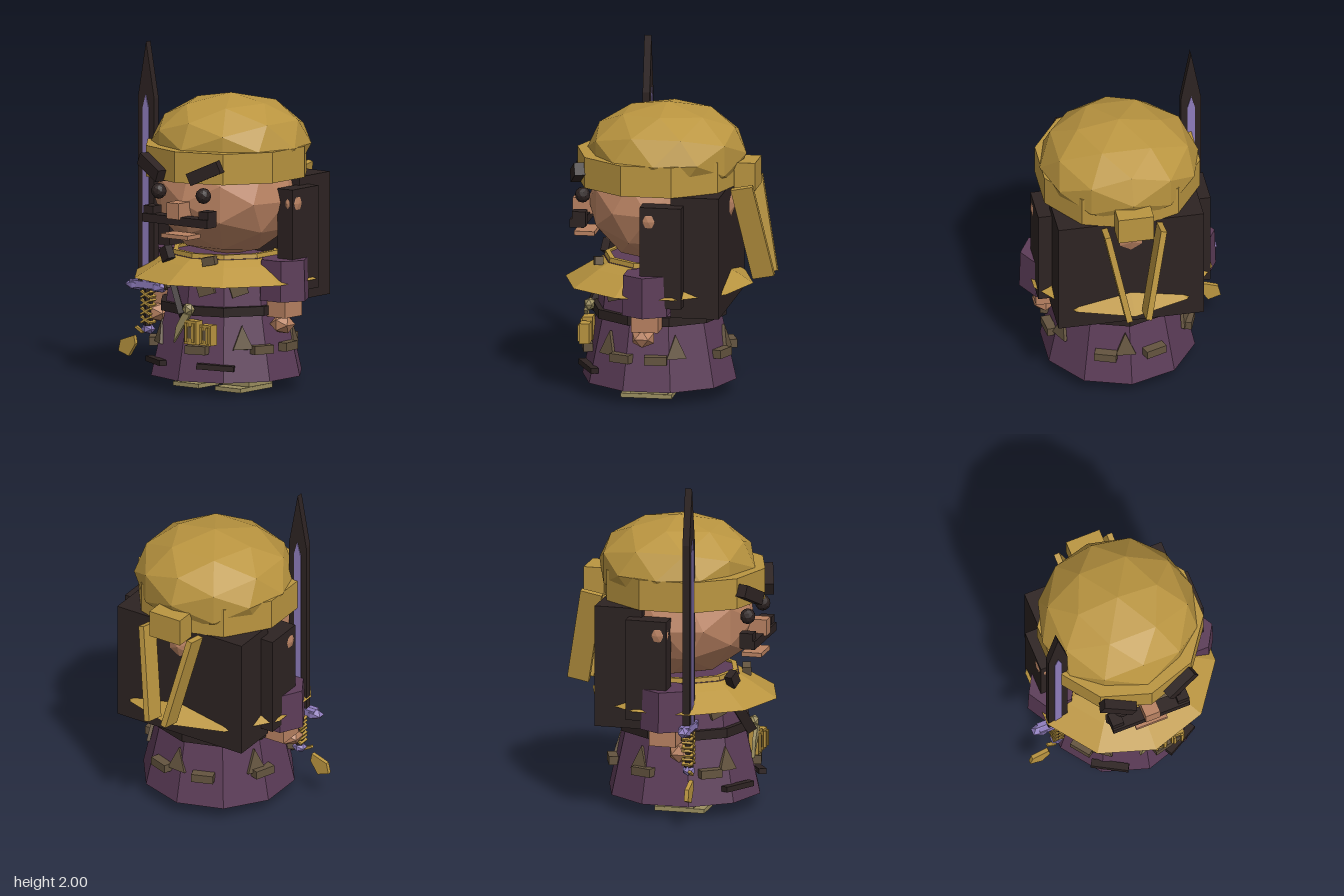
import * as THREE from 'three';

const mat = (name, color) => Object.assign(new THREE.MeshStandardMaterial({ color, flatShading: true, side: THREE.DoubleSide }), { name });

export function createModel() {
  const gold = mat('gold', 0xba9540), purple = mat('robe purple', 0x5c3c58), dark = mat('near black', 0x2d2322);
  const skin = mat('skin', 0xb98262), lilac = mat('lilac', 0x8e7cbc), taupe = mat('taupe', 0x64543f), tan = mat('tan', 0x9c8f60);
  const root = new THREE.Group();
  root.name = 'swordsman';
  const CX = 0.03, CZ = 0.045; // body axis

  const add = (name, geo, m, pos = [0, 0, 0], rot = [0, 0, 0], parent = root) => {
    const mesh = new THREE.Mesh(geo, m);
    mesh.name = name;
    mesh.position.set(...pos);
    mesh.rotation.set(...rot);
    parent.add(mesh);
    return mesh;
  };
  const box = (name, m, size, pos, rot, parent) => add(name, new THREE.BoxGeometry(...size), m, pos, rot, parent);
  const ball = (name, m, radii, pos, detail = 1) =>
    add(name, new THREE.IcosahedronGeometry(1, detail).scale(...radii), m, pos);
  const ring = (name, m, rTop, rBottom, y0, y1, sides = 10) =>
    add(name, new THREE.CylinderGeometry(rTop, rBottom, y1 - y0, sides), m, [CX, (y0 + y1) / 2, CZ]);
  const plate = (pts, depth) => new THREE.ExtrudeGeometry(
    new THREE.Shape(pts.map(p => new THREE.Vector2(...p))), { depth, bevelEnabled: false }).translate(0, 0, -depth / 2);
  // Bar running between two points
  const bar = (name, m, a, b, width, depth) => {
    const A = new THREE.Vector3(...a), B = new THREE.Vector3(...b);
    const mesh = box(name, m, [width, A.distanceTo(B), depth], A.clone().add(B).multiplyScalar(0.5).toArray());
    mesh.quaternion.setFromUnitVectors(new THREE.Vector3(0, 1, 0), B.sub(A).normalize());
    return mesh;
  };
  // Pivot on the skirt at an angle from the front
  const around = (deg, r, y, tilt = 0) => {
    const a = THREE.MathUtils.degToRad(deg), g = new THREE.Group();
    g.name = 'skirtMount';
    g.position.set(CX + Math.sin(a) * r, y, CZ + Math.cos(a) * r);
    g.rotation.set(tilt, a, 0, 'YXZ');
    root.add(g);
    return g;
  };

  // Robe, belt and collar
  ring('skirt', purple, 0.365, 0.455, 0.08, 0.48);
  ring('belt', dark, 0.395, 0.395, 0.46, 0.515);
  ring('torso', purple, 0.33, 0.365, 0.5, 0.79);
  const collar = [[0.555, 0.655], [0.4, 0.75], [0.325, 0.79], [0.32, 0.815], [0.29, 0.815]].map(p => new THREE.Vector2(...p));
  add('collar', new THREE.LatheGeometry(collar, 10), gold, [CX, 0, CZ]);

  // Feet, sleeves, arms, hands, ears
  for (const s of [-1, 1]) {
    const x = CX + s * 0.155;
    box('sole', tan, [0.19, 0.025, 0.3], [x, 0.0125, 0.08]);
    box('shoe', tan, [0.225, 0.03, 0.22], [x, 0.045, 0.06]);
    box('ankle', taupe, [0.17, 0.07, 0.17], [x, 0.07, 0.06]);
    add('sleeve', new THREE.CylinderGeometry(0.145, 0.152, 0.24, 6), purple, [CX + s * 0.43, 0.67, 0.045], [0, Math.PI / 6 * 3, 0]);
    box('forearm', skin, [0.135, 0.12, 0.16], [CX + s * 0.43, 0.51, 0.045]);
    ball('hand', skin, [0.075, 0.06, 0.075], [CX + s * 0.432, 0.405, s < 0 ? 0.14 : 0.065], 0);
    ball('ear', skin, [0.045, 0.068, 0.06], [CX + s * 0.475, 1.115, 0.02]);
    box('sideLock', dark, [0.11, 0.6, 0.245], [CX + s * 0.455, 0.9, -0.05]);
  }

  // Head, hair and cap
  ball('head', skin, [0.435, 0.35, 0.435], [CX, 1.12, 0.03]);
  box('backHair', dark, [0.86, 0.72, 0.285], [CX, 0.89, -0.2375]);
  ball('cap', gold, [0.47, 0.29, 0.47], [CX, 1.43, 0]);
  ring('headband', gold, 0.485, 0.485, 1.25, 1.432);
  box('knot', gold, [0.21, 0.165, 0.125], [CX, 1.312, -0.475]);
  for (const s of [-1, 1])
    bar('headbandTail', gold, [CX + s * 0.165, 1.26, -0.47], [CX + s * 0.055, 0.71, -0.58], 0.13, 0.035);

  // Face
  for (const s of [-1, 1]) {
    box('eyebrow', dark, [0.205, 0.075, 0.07], [CX + s * 0.195, 1.32, 0.49], [0, s * 0.3, s * 0.42]);
    ball('eye', dark, [0.047, 0.047, 0.045], [CX + s * 0.165, 1.18, 0.47]);
    box('moustacheTip', dark, [0.07, 0.09, 0.08], [CX + s * 0.205, 1.05, 0.48]);
  }
  box('moustache', dark, [0.48, 0.05, 0.085], [CX, 1.025, 0.49]);
  box('nose', skin, [0.09, 0.095, 0.12], [CX, 1.085, 0.49]);
  box('mouth', skin, [0.195, 0.025, 0.12], [CX, 0.932, 0.473]);

  // Chest strap, clasps and patches
  bar('strap', dark, [-0.15, 0.72, 0.36], [0.02, 0.46, 0.45], 0.06, 0.035);
  box('strapClasp', dark, [0.07, 0.08, 0.05], [-0.145, 0.8, 0.38], [0, -0.3, 0.5]);
  box('collarClasp', taupe, [0.08, 0.05, 0.05], [0.17, 0.785, 0.38], [0, 0.3, 0.2]);
  for (const a of [-42, 18, 50]) box('chestPatch', taupe, [0.1, 0.08, 0.03], [0, 0, 0], [0, 0, 0.3], around(a, 0.345, 0.62));
  ball('beltKnot', tan, [0.04, 0.04, 0.035], [0.07, 0.5, 0.45], 0);
  add('beltDagger', plate([[0.05, 0.48], [0.1, 0.47], [0.05, 0.4], [-0.02, 0.3], [0, 0.4]], 0.02), tan, [0, 0, 0.47]);

  // Belt pouches with raised rims
  for (const [x, y, w, h] of [[0.105, 0.37, 0.09, 0.14], [0.215, 0.363, 0.08, 0.12]]) {
    box('pouch', gold, [w, h, 0.06], [x, y, 0.45]);
    box('pouchInset', taupe, [w * 0.3, h * 0.5, 0.008], [x, y, 0.482]);
    for (const s of [-1, 1]) box('pouchRim', gold, [w * 0.18, h * 0.8, 0.015], [x + s * w * 0.28, y, 0.485]);
  }

  // Skirt ornaments
  const spike = plate([[-0.06, 0], [0.06, 0], [0, 0.14]], 0.02);
  for (const a of [-37, 52, 114, 176, 245]) add('skirtSpike', spike, taupe, [0, 0, 0], [0, 0, 0], around(a, 0.408, 0.27, -0.2));
  for (const a of [14, 68, 97, 160, 200, 250, 306]) box('skirtStud', taupe, [0.13, 0.05, 0.055], [0, 0, 0], [0, 0, 0], around(a, 0.42, 0.268));
  for (const s of [-1, 1]) box('skirtBar', dark, [0.22, 0.032, 0.045], [0, 0, 0], [0, 0, s > 0 ? -0.06 : 0], around(s * 30, 0.44, 0.172));

  // Sword
  const sx = -0.43, sz = 0.195;
  add('blade', plate([[-0.06, 0.57], [0.06, 0.57], [0.06, 1.67], [0, 2], [-0.06, 1.67]], 0.042), dark, [sx, 0, sz]);
  for (const s of [-1, 1])
    add('bladeInlay', plate([[-0.022, 0.58], [0.022, 0.58], [0.022, 1.61], [0, 1.69], [-0.022, 1.61]], 0.006), lilac, [sx, 0, sz + s * 0.023]);
  box('guard', lilac, [0.22, 0.04, 0.06], [sx - 0.005, 0.57, sz]);
  for (const s of [-1, 1]) ball('guardEnd', lilac, [0.07, 0.035, 0.042], [sx - 0.01 + s * 0.085, 0.562, sz], 0);
  add('grip', new THREE.CylinderGeometry(0.028, 0.028, 0.22, 6), dark, [sx, 0.44, sz]);
  for (let i = 0; i < 4; i++)
    for (const s of [-1, 1]) box('gripWrap', gold, [0.075, 0.012, 0.066], [sx, 0.365 + i * 0.05, sz], [0, 0, s * 0.5]);
  ball('pommel', lilac, [0.045, 0.032, 0.04], [sx, 0.31, sz], 0);

  // Charm hanging from the pommel
  box('charmCord', gold, [0.06, 0.015, 0.02], [-0.475, 0.305, 0.22], [0, 0, -0.5]);
  add('charm', plate([[-0.615, 0.17], [-0.6, 0.235], [-0.5, 0.27], [-0.49, 0.22], [-0.54, 0.145]], 0.025), gold, [0, 0, 0.23]);
  return root;
}
